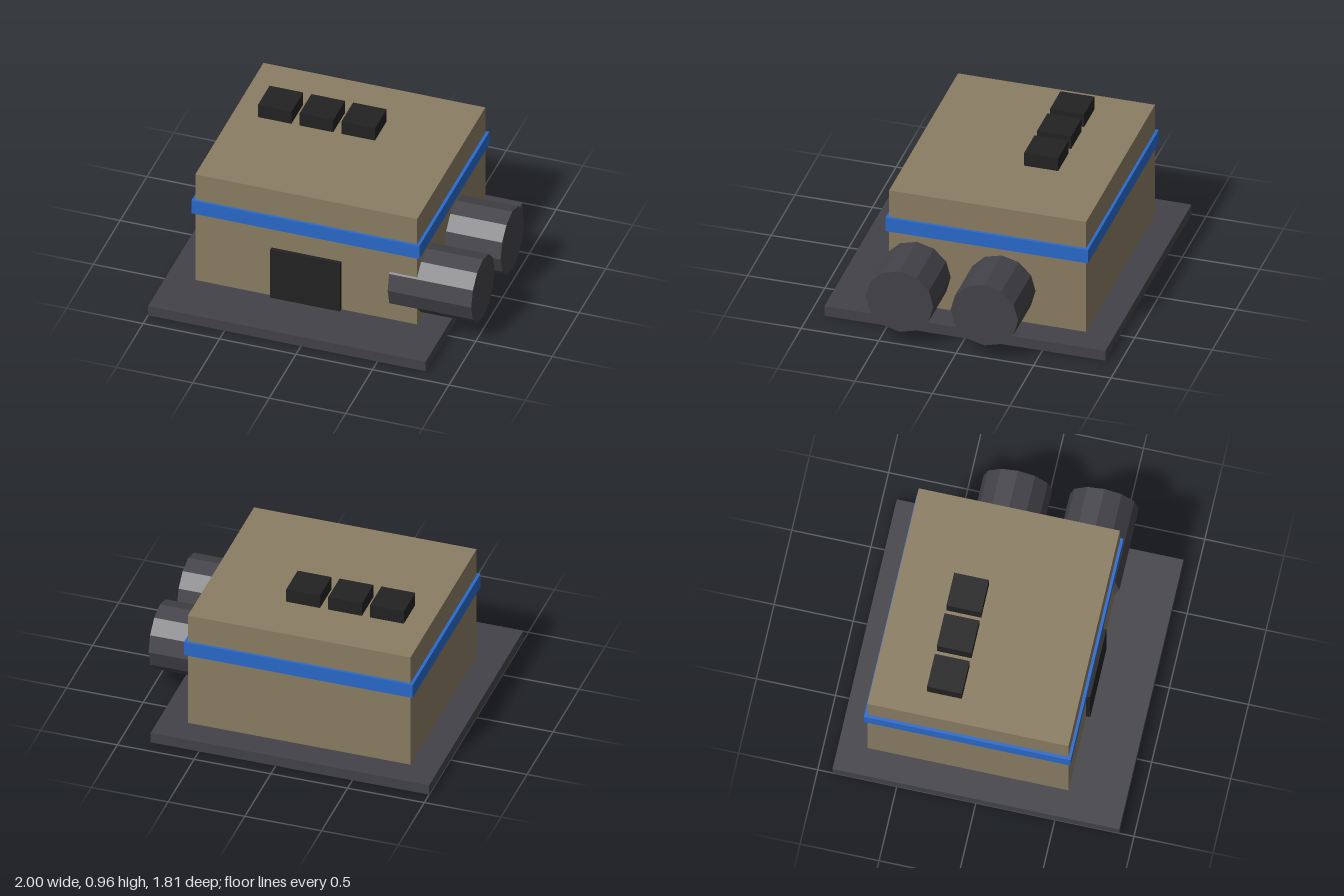
import * as THREE from 'three';

const flat = (name, color) => {
  const m = new THREE.MeshStandardMaterial({ color, flatShading: true });
  m.name = name;
  return m;
};

export function createModel() {
  const model = new THREE.Group();
  model.name = 'industrialBuilding';

  const tan = flat('tan wall', 0x8b7d63);
  const grey = flat('dark grey', 0x434248);
  const blue = flat('blue trim', 0x2a6acc);
  const black = flat('near black', 0x222222);

  // Box given by its limits on each axis
  const box = (name, material, [x0, x1], [y0, y1], [z0, z1]) => {
    const mesh = new THREE.Mesh(new THREE.BoxGeometry(x1 - x0, y1 - y0, z1 - z0), material);
    mesh.position.set((x0 + x1) / 2, (y0 + y1) / 2, (z0 + z1) / 2);
    mesh.name = name;
    model.add(mesh);
  };

  box('foundationSlab', grey, [-1, 0.815], [0, 0.07], [-0.907, 0.907]);
  box('mainBuilding', tan, [-0.818, 0.633], [0.07, 0.865], [-0.727, 0.545]);
  box('trimBand', blue, [-0.838, 0.653], [0.58, 0.675], [-0.745, 0.563]);
  box('door', black, [-0.32, 0.137], [0.07, 0.43], [0.53, 0.571]);

  // Row of roof vents
  for (let i = 0; i < 3; i++) {
    const x = -0.548 + i * 0.273;
    box(`roofVent${i + 1}`, black, [x - 0.11, x + 0.11], [0.865, 0.956], [-0.385, -0.165]);
  }

  // Horizontal storage tanks passing through the side wall
  [0.365, -0.182].forEach((z, i) => {
    const tank = new THREE.Mesh(new THREE.CylinderGeometry(0.218, 0.218, 0.547, 12), grey);
    tank.rotation.z = Math.PI / 2;
    tank.position.set(0.7265, 0.307, z);
    tank.name = `sideTank${i + 1}`;
    model.add(tank);
  });

  return model;
}
